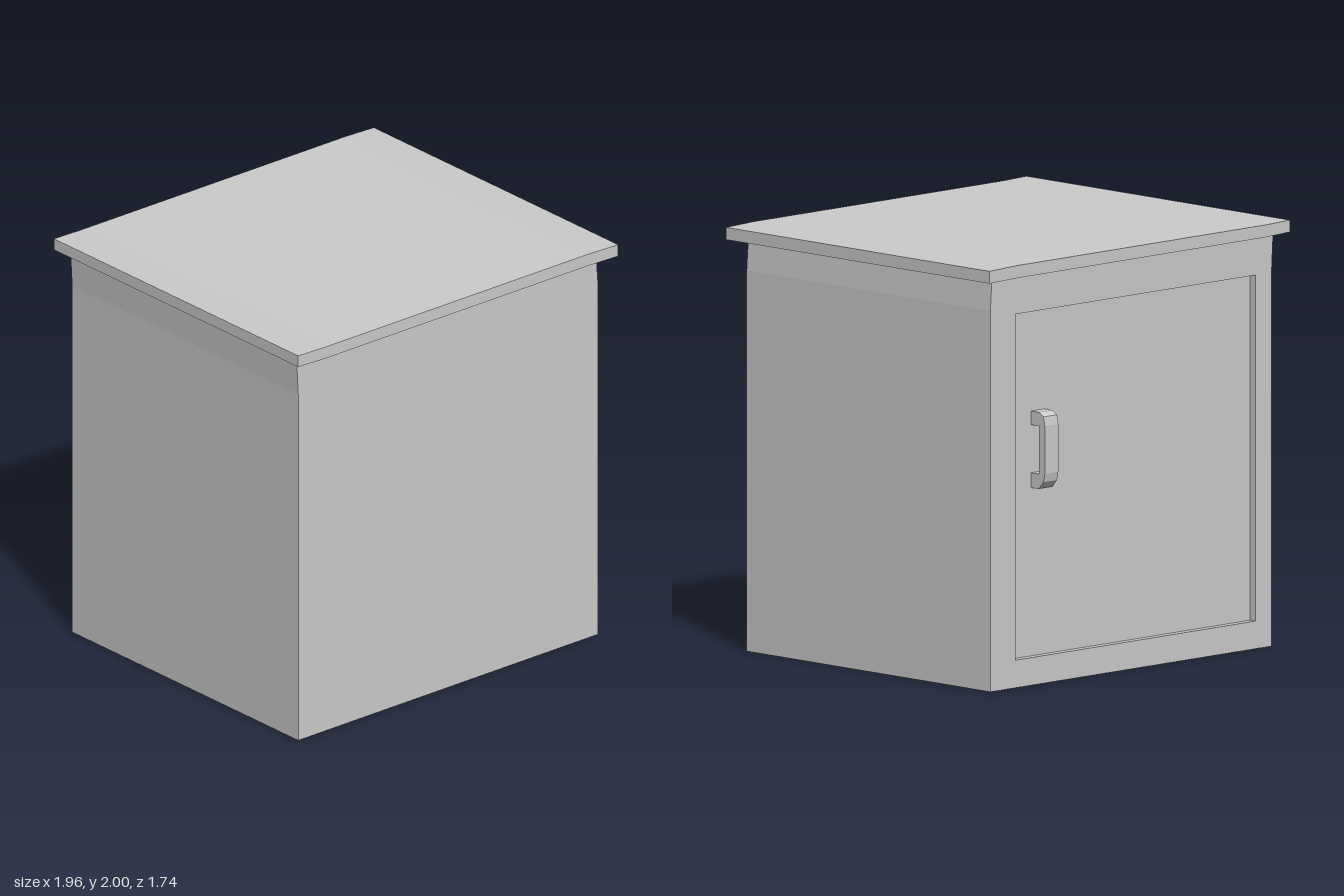
import * as THREE from 'three';

const material = new THREE.MeshStandardMaterial({ color: 0xcccccc, flatShading: true });

const outline = (pts) => pts.map(([x, y]) => new THREE.Vector2(x, y));

// Extrudes an x/y outline between two z planes.
function slab(name, pts, z0, z1, hole) {
  const shape = new THREE.Shape(outline(pts));
  if (hole) shape.holes.push(new THREE.Path(outline(hole)));
  const geo = new THREE.ExtrudeGeometry(shape, { depth: z1 - z0, bevelEnabled: false });
  geo.translate(0, 0, z0);
  const mesh = new THREE.Mesh(geo, material);
  mesh.name = name;
  return mesh;
}

export function createModel() {
  const model = new THREE.Group();
  model.name = 'cabinet';

  // Cabinet walls, leaning slightly just below the lid
  const body = [
    [-0.915, 0], [0.915, 0], [0.915, 1.79], [0.905, 1.935],
    [-0.925, 1.94], [-0.915, 1.76],
  ];
  const opening = [[-0.81, 0.13], [-0.81, 1.755], [0.75, 1.755], [0.75, 0.13]];
  model.add(slab('carcass', body, -0.76, 0.795));
  model.add(slab('doorFrame', body, -0.812, -0.76, opening));

  // Door panel set back inside the frame
  model.add(slab('door', [...opening].reverse(), -0.776, -0.76));

  // Overhanging lid, gently warped down at one end
  model.add(slab('lid', [
    [-0.98, 1.944], [-0.82, 1.938], [0.8, 1.936], [0.975, 1.931],
    [0.975, 1.989], [0.8, 1.995], [-0.82, 1.996], [-0.98, 2],
  ], -0.867, 0.87));

  // Pull handle: bracket profile drawn as (-z, y), extruded across x
  const handle = slab('handle', [
    [0.77, 0.92], [0.828, 0.92], [0.858, 0.955], [0.867, 0.995],
    [0.867, 1.22], [0.858, 1.262], [0.828, 1.28], [0.77, 1.28],
    [0.77, 1.215], [0.828, 1.215], [0.828, 0.99], [0.77, 0.99],
  ], 0.527, 0.615);
  handle.rotation.y = Math.PI / 2;
  model.add(handle);

  return model;
}
